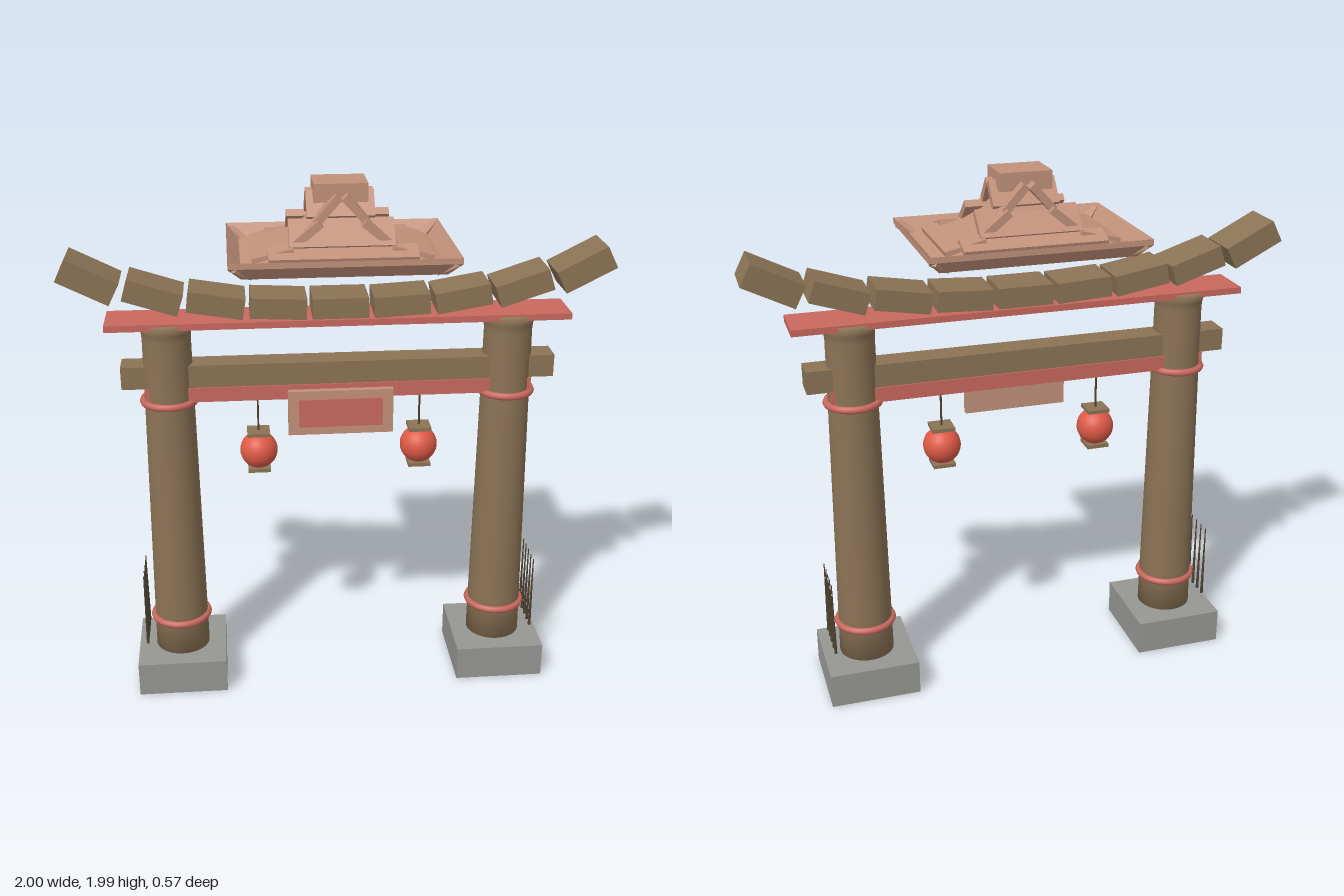
import * as THREE from 'three';

const mat = (name, color, extra = {}) => {
  const m = new THREE.MeshStandardMaterial({ color, ...extra });
  m.name = name;
  return m;
};

export function createModel() {
  const model = new THREE.Group();
  model.name = 'gate';
  const wood = mat('wood', 0x8b7355);
  const red = mat('paintedRed', 0xc9685e);
  const lanternRed = mat('lanternRed', 0xde5a46);
  const tan = mat('roofTan', 0xc2917a);
  const stone = mat('stone', 0x969693);
  const dark = mat('darkStalk', 0x4f4433);

  const add = (name, geo, material, x = 0, y = 0, z = 0, parent = model) => {
    const m = new THREE.Mesh(geo, material);
    m.name = name;
    m.position.set(x, y, z);
    parent.add(m);
    return m;
  };
  const box = (w, h, d) => new THREE.BoxGeometry(w, h, d);

  // Columns, plinths, rings, lanterns and stalks on both sides
  const columnProfile = [[0, 0.13], [0.105, 0.13], [0.103, 0.3], [0.091, 1.2], [0.089, 1.42], [0.092, 1.45], [0.106, 1.49], [0, 1.49]]
    .map(p => new THREE.Vector2(...p));
  for (const s of [1, -1]) {
    const side = new THREE.Group();
    side.name = s > 0 ? 'leftSide' : 'rightSide';
    model.add(side);
    const x = 0.63 * s;
    add('plinth', box(0.343, 0.135, 0.35), stone, x, 0.0675, 0, side);
    add('column', new THREE.LatheGeometry(columnProfile, 32), wood, x, 0, 0, side);
    for (const [y, r] of [[0.267, 0.105], [1.18, 0.096]]) {
      add('ring', new THREE.TorusGeometry(r, 0.014, 8, 32), red, x, y, 0, side).rotation.x = Math.PI / 2;
    }

    // Hanging lantern
    const lx = 0.305 * s;
    add('lanternCord', new THREE.CylinderGeometry(0.004, 0.004, 0.2, 6), dark, lx, 1.14, 0, side);
    add('lanternBody', new THREE.SphereGeometry(0.071, 24, 16), lanternRed, lx, 0.963, 0, side);
    add('lanternTopPlate', box(0.085, 0.014, 0.085), wood, lx, 1.036, 0, side);
    add('lanternBottomPlate', box(0.085, 0.014, 0.085), wood, lx, 0.891, 0, side);

    // Thin stalks beside the column
    for (let i = -2; i <= 2; i++) {
      add('stalk', new THREE.CylinderGeometry(0.002, 0.006, 0.3, 6), dark, 0.765 * s, 0.33, 0.043 * i, side);
    }
  }

  // Cross beams
  add('lowerBeam', box(1.6, 0.085, 0.1), wood, 0, 1.2825, 0);
  add('redTieBeam', box(1.43, 0.055, 0.112), red, 0, 1.2125, 0);
  add('redTopPlank', box(1.69, 0.024, 0.18), red, 0, 1.486, 0);

  // Upturned top beam made of separate blocks: x, y, tilt in degrees, height
  const blocks = [[0, 1.538, 0, 0.075], [0.223, 1.542, 3, 0.075], [0.446, 1.56, 9.5, 0.076], [0.668, 1.594, 18, 0.08], [0.891, 1.656, 27, 0.088]];
  blocks.forEach(([x, y, deg, h], i) => {
    for (const s of i ? [1, -1] : [1]) {
      add('topBeamBlock', box(0.203, h, 0.17), wood, x * s, y, 0).rotation.z = s * deg * Math.PI / 180;
    }
  });

  // Sign board
  add('signBoard', box(0.39, 0.172, 0.025), tan, 0, 1.137, 0.07);
  add('signPanel', box(0.31, 0.108, 0.008), red, 0, 1.137, 0.085);

  // Roof shell: rectangular rings (half width, half depth, y), out over the top and back underneath
  const roof = new THREE.Group();
  roof.name = 'roof';
  model.add(roof);
  const top = [[0.001, 0.001, 1.95], [0.06, 0.05, 1.91], [0.15, 0.11, 1.81], [0.24, 0.17, 1.755], [0.355, 0.24, 1.722], [0.4, 0.28, 1.768]];
  const rings = [...top, ...top.slice().reverse().map(([a, b, y]) => [a, b, y - 0.021])];
  const corners = [[-1, 1], [1, 1], [1, -1], [-1, -1]];
  const pos = [];
  const point = (r, c) => [r[0] * corners[c % 4][0], r[2], r[1] * corners[c % 4][1]];
  for (let i = 0; i < rings.length - 1; i++) {
    for (let c = 0; c < 4; c++) {
      const [p, q, r, t] = [point(rings[i + 1], c), point(rings[i + 1], c + 1), point(rings[i], c + 1), point(rings[i], c)];
      pos.push(...p, ...q, ...r, ...p, ...r, ...t);
    }
  }
  const shell = new THREE.BufferGeometry();
  shell.setAttribute('position', new THREE.Float32BufferAttribute(pos, 3));
  shell.computeVertexNormals();
  add('roofShell', shell, tan, 0, 0, 0, roof);

  // Stepped roof slabs on each side: d0, y0, d1, y1, width
  const frontSlabs = [[0.01, 1.945, 0.075, 1.865, 0.24], [0.06, 1.855, 0.145, 1.775, 0.37], [0.13, 1.772, 0.21, 1.745, 0.52]];
  const sideSlabs = [[0.01, 1.945, 0.09, 1.855, 0.24], [0.075, 1.86, 0.18, 1.775, 0.28], [0.17, 1.772, 0.315, 1.738, 0.35]];
  for (let k = 0; k < 4; k++) {
    const arm = new THREE.Group();
    arm.name = 'roofSlope';
    arm.rotation.y = k * Math.PI / 2;
    roof.add(arm);
    for (const [d0, y0, d1, y1, w] of k % 2 ? sideSlabs : frontSlabs) {
      const slab = box(w, 0.028, Math.hypot(d1 - d0, y1 - y0));
      add('roofSlab', slab, tan, 0, (y0 + y1) / 2, (d0 + d1) / 2, arm).rotation.x = Math.atan2(y0 - y1, d1 - d0);
    }
  }
  add('roofCap', box(0.19, 0.065, 0.156), tan, 0, 1.953, 0, roof);

  // Upturned corner brackets under the eaves
  for (const [sx, sz] of corners) {
    const bracket = add('cornerBracket', box(0.03, 0.025, 0.09), tan, 0.355 * sx, 1.727, 0.243 * sz, roof);
    bracket.rotation.order = 'YXZ';
    bracket.rotation.set(-0.5, Math.atan2(sx, sz), 0);
  }
  return model;
}
